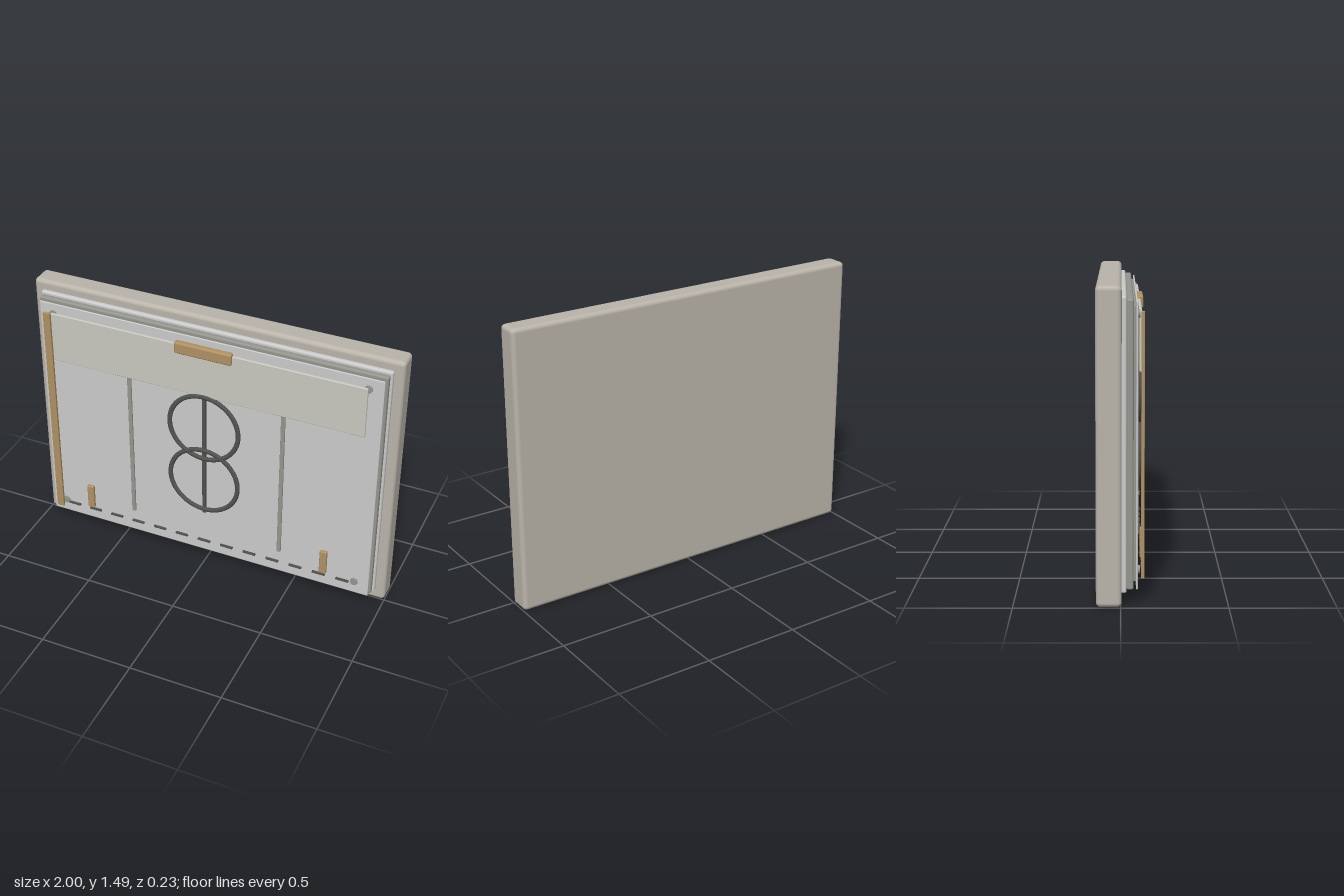
import * as THREE from 'three';
import { RoundedBoxGeometry } from 'three/addons/geometries/RoundedBoxGeometry.js';

export function createModel() {
  const model = new THREE.Group();
  const mat = (color) => new THREE.MeshStandardMaterial({ color });
  const grey = mat(0xcccccc), stone = mat(0xbab4aa), steel = mat(0x96968f);
  const dark = mat(0x50524f), brass = mat(0xb09264), cream = mat(0xcbc9c0);

  const add = (name, geometry, material, x, y, z) => {
    const mesh = new THREE.Mesh(geometry, material);
    mesh.name = name;
    mesh.position.set(x, y, z);
    model.add(mesh);
    return mesh;
  };

  // Box given by its extents, with softened edges when r > 0
  const slab = (name, material, [x0, x1], [y0, y1], [z0, z1], r = 0) => {
    const size = [x1 - x0, y1 - y0, z1 - z0];
    const geometry = r ? new RoundedBoxGeometry(...size, 3, r) : new THREE.BoxGeometry(...size);
    return add(name, geometry, material, (x0 + x1) / 2, (y0 + y1) / 2, (z0 + z1) / 2);
  };

  // Stacked body panels, back to front
  slab('backSlab', stone, [-1, 1], [0, 1.485], [-0.115, 0.005], 0.022);
  slab('rearPlate', grey, [-0.95, 0.95], [0.055, 1.435], [0.0, 0.028], 0.01);
  slab('middleFrame', steel, [-0.94, 0.94], [0.068, 1.422], [0.027, 0.06], 0.01);
  slab('spacerPlate', steel, [-0.9, 0.9], [0.1, 1.385], [0.055, 0.072]);
  slab('frontPlate', grey, [-0.93, 0.93], [0.068, 1.408], [0.071, 0.08], 0.004);

  // Corner studs
  for (const x of [-0.853, 0.853]) for (const y of [0.145, 1.35]) {
    const stud = add('cornerStud', new THREE.CylinderGeometry(0.02, 0.02, 0.012, 24), steel, x, y, 0.084);
    stud.rotation.x = Math.PI / 2;
  }

  // Upper flap, its handle and the side strip
  slab('upperFlap', cream, [-0.86, 0.855], [1.08, 1.36], [0.086, 0.1], 0.004);
  slab('flapHandle', brass, [-0.155, 0.155], [1.31, 1.375], [0.081, 0.115], 0.01);
  slab('sideStrip', brass, [-0.9, -0.86], [0.112, 1.362], [0.095, 0.111], 0.003);

  // Mirrored seams and lower tabs
  for (const s of [-1, 1]) {
    slab('verticalSeam', steel, [s * 0.427 - 0.011, s * 0.427 + 0.011], [0.205, 1.085], [0.078, 0.089], 0.003);
    slab('lowerTab', brass, [s * 0.683 - 0.02, s * 0.683 + 0.02], [0.16, 0.305], [0.09, 0.11], 0.006);
  }

  // Interlocking rings over the centre seam
  slab('centreSeam', dark, [-0.01, 0.01], [0.337, 1.085], [0.084, 0.1], 0.003);
  for (const y of [0.887, 0.555]) {
    const ring = add('ring', new THREE.TorusGeometry(0.192, 0.013, 12, 72), dark, 0, y, 0.099);
    ring.scale.z = 0.75;
  }

  // Row of stitches along the bottom
  for (let i = -6; i <= 6; i++) {
    const x = i * 0.132;
    slab('stitch', dark, [x - 0.036, x + 0.036], [0.141, 0.153], [0.093, 0.105], 0.003);
  }
  return model;
}
